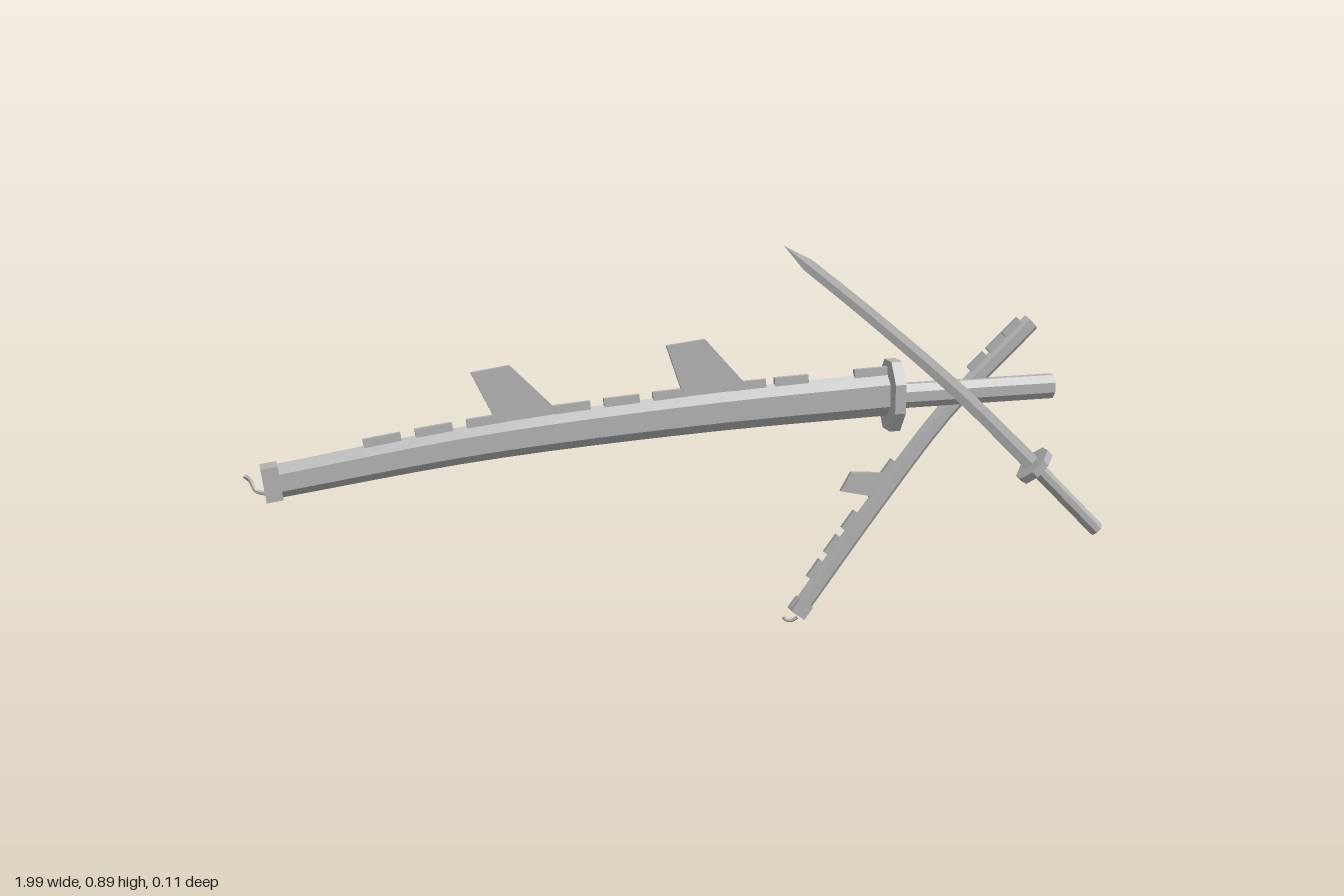
import * as THREE from 'three';

export function createModel() {
  const model = new THREE.Group();
  model.name = 'crossedSwords';
  const steel = new THREE.MeshStandardMaterial({ color: 0xb4b4b4, flatShading: true });
  steel.name = 'grey';

  const add = (parent, name, geometry) => {
    const mesh = new THREE.Mesh(geometry, steel);
    mesh.name = name;
    parent.add(mesh);
    return mesh;
  };
  const group = (name) => {
    const g = new THREE.Group();
    g.name = name;
    model.add(g);
    return g;
  };
  const path = (z, pts) => new THREE.CatmullRomCurve3(pts.map(([x, y]) => new THREE.Vector3(x, y, z)));
  const line = (z, [x0, y0], [x1, y1]) =>
    new THREE.LineCurve3(new THREE.Vector3(x0, y0, z), new THREE.Vector3(x1, y1, z));

  // Point, tangent and upward normal on a path lying in an xy plane
  const frame = (curve, u) => {
    const p = curve.getPointAt(u), t = curve.getTangentAt(u);
    return { p, t, n: new THREE.Vector3(-t.y, t.x, 0) };
  };

  // Capped polygon section swept along a path; size(u) gives [half height, half width]
  function sweep(curve, steps, sides, phase, size) {
    const rings = [], pos = [];
    for (let i = 0; i <= steps; i++) {
      const u = i / steps, { p, n } = frame(curve, u), [h, w] = size(u);
      rings.push(Array.from({ length: sides }, (_, j) => {
        const a = phase + (j / sides) * Math.PI * 2;
        const v = p.clone().addScaledVector(n, h * Math.sin(a));
        v.z += w * Math.cos(a);
        return v;
      }));
    }
    const tri = (...vs) => vs.forEach((v) => pos.push(v.x, v.y, v.z));
    for (let i = 0; i < steps; i++) {
      for (let j = 0; j < sides; j++) {
        const k = (j + 1) % sides, A = rings[i], B = rings[i + 1];
        tri(A[j], B[j], B[k]);
        tri(A[j], B[k], A[k]);
      }
    }
    const end = rings[steps];
    for (let j = 1; j < sides - 1; j++) {
      tri(rings[0][0], rings[0][j], rings[0][j + 1]);
      tri(end[0], end[j + 1], end[j]);
    }
    const g = new THREE.BufferGeometry();
    g.setAttribute('position', new THREE.Float32BufferAttribute(pos, 3));
    g.computeVertexNormals();
    return g;
  }

  // Straight eight-sided bar with flats on top and at the sides
  const bar = (z, a, b, h, w) => {
    const k = 1 / Math.cos(Math.PI / 8);
    return sweep(line(z, a, b), 1, 8, Math.PI / 8, () => [h * k, w * k]);
  };
  // Rectangular block
  const block = (z, a, b, h, w) =>
    sweep(line(z, a, b), 1, 4, Math.PI / 4, () => [h * Math.SQRT2, w * Math.SQRT2]);

  // Thin fin with a given outline
  function fin(parent, z, pts) {
    const shape = new THREE.Shape(pts.map(([x, y]) => new THREE.Vector2(x, y)));
    const g = new THREE.ExtrudeGeometry(shape, { depth: 0.009, bevelEnabled: false });
    add(parent, 'fin', g.translate(0, 0, z - 0.0045));
  }

  // Low tiles standing along the ridge of a scabbard
  function ridgeTiles(parent, curve, us, height, length, rise) {
    for (const u of us) {
      const { p, t, n } = frame(curve, u);
      const m = add(parent, 'ridgeTile', new THREE.BoxGeometry(length, 0.024, 0.01));
      m.position.copy(p).addScaledVector(n, height(u) + rise - 0.012);
      m.rotation.z = Math.atan2(t.y, t.x);
    }
  }

  // Small curled cord at a scabbard tip
  const cord = (parent, pts, r) => add(parent, 'cord', new THREE.TubeGeometry(
    new THREE.CatmullRomCurve3(pts.map((p) => new THREE.Vector3(...p))), 12, r, 6));

  // Long sheathed sword
  const long = group('longSword');
  const longPath = path(0, [[-0.94, 0.437], [-0.5, 0.492], [0, 0.526], [0.44, 0.541]]);
  const longHeight = (u) => 0.037 + 0.014 * u;
  add(long, 'longScabbard', sweep(longPath, 14, 6, Math.PI / 6, (u) => [longHeight(u), 0.026]));
  add(long, 'scabbardCap', block(0, [-0.957, 0.435], [-0.922, 0.439], 0.037, 0.024));
  add(long, 'longGuard', bar(0, [0.44, 0.538], [0.466, 0.538], 0.081, 0.052));
  add(long, 'longHandle', bar(0, [0.46, 0.535], [0.855, 0.535], 0.028, 0.021));
  const tileX = [-0.7, -0.59, -0.48, -0.29, -0.18, -0.07, 0.11, 0.21, 0.4];
  ridgeTiles(long, longPath, tileX.map((x) => (x + 0.94) / 1.38), longHeight, 0.08, 0.014);
  fin(long, 0, [[-0.45, 0.51], [-0.335, 0.54], [-0.335, 0.56], [-0.43, 0.658], [-0.515, 0.647]]);
  fin(long, 0, [[-0.035, 0.54], [0.1, 0.55], [0.1, 0.585], [0.005, 0.692], [-0.083, 0.682]]);
  cord(long, [[-0.95, 0.413, 0], [-0.972, 0.418, -0.01], [-0.983, 0.44, -0.018], [-0.995, 0.452, -0.014]], 0.005);

  // Empty short scabbard
  const sheath = group('shortScabbard');
  const sz = -0.012;
  const sheathPath = path(sz, [[0.236, 0.03], [0.42, 0.275], [0.595, 0.492], [0.8, 0.688]]);
  const sheathHeight = () => 0.023;
  add(sheath, 'scabbardBody', sweep(sheathPath, 12, 6, Math.PI / 6, () => [0.023, 0.0145]));
  add(sheath, 'scabbardCap', block(sz, [0.231, 0.024], [0.252, 0.052], 0.02, 0.015));
  ridgeTiles(sheath, sheathPath, [0.12, 0.2, 0.28, 0.45, 0.82, 0.89, 0.95], sheathHeight, 0.05, 0.012);
  fin(sheath, sz, [[0.42, 0.26], [0.47, 0.33], [0.455, 0.35], [0.36, 0.358], [0.335, 0.315], [0.405, 0.298]]);
  cord(sheath, [[0.235, 0.015, sz], [0.222, 0.007, -0.016], [0.21, 0.008, -0.02], [0.202, 0.016, -0.022]], 0.004);

  // Drawn short sword
  const short = group('shortSword');
  const bz = 0.022;
  const bladePath = path(bz, [[0.18, 0.894], [0.4, 0.718], [0.62, 0.53], [0.815, 0.343]]);
  add(short, 'blade', sweep(bladePath, 24, 4, 0, (u) => {
    const k = Math.min(1, u / 0.085 + 0.02);
    return [k * (0.014 + 0.006 * u), k * (0.003 + 0.002 * u)];
  }));
  add(short, 'shortGuard', bar(bz, [0.803, 0.356], [0.817, 0.342], 0.046, 0.032));
  add(short, 'shortHandle', bar(bz, [0.81, 0.349], [0.983, 0.177], 0.017, 0.0135));

  return model;
}
